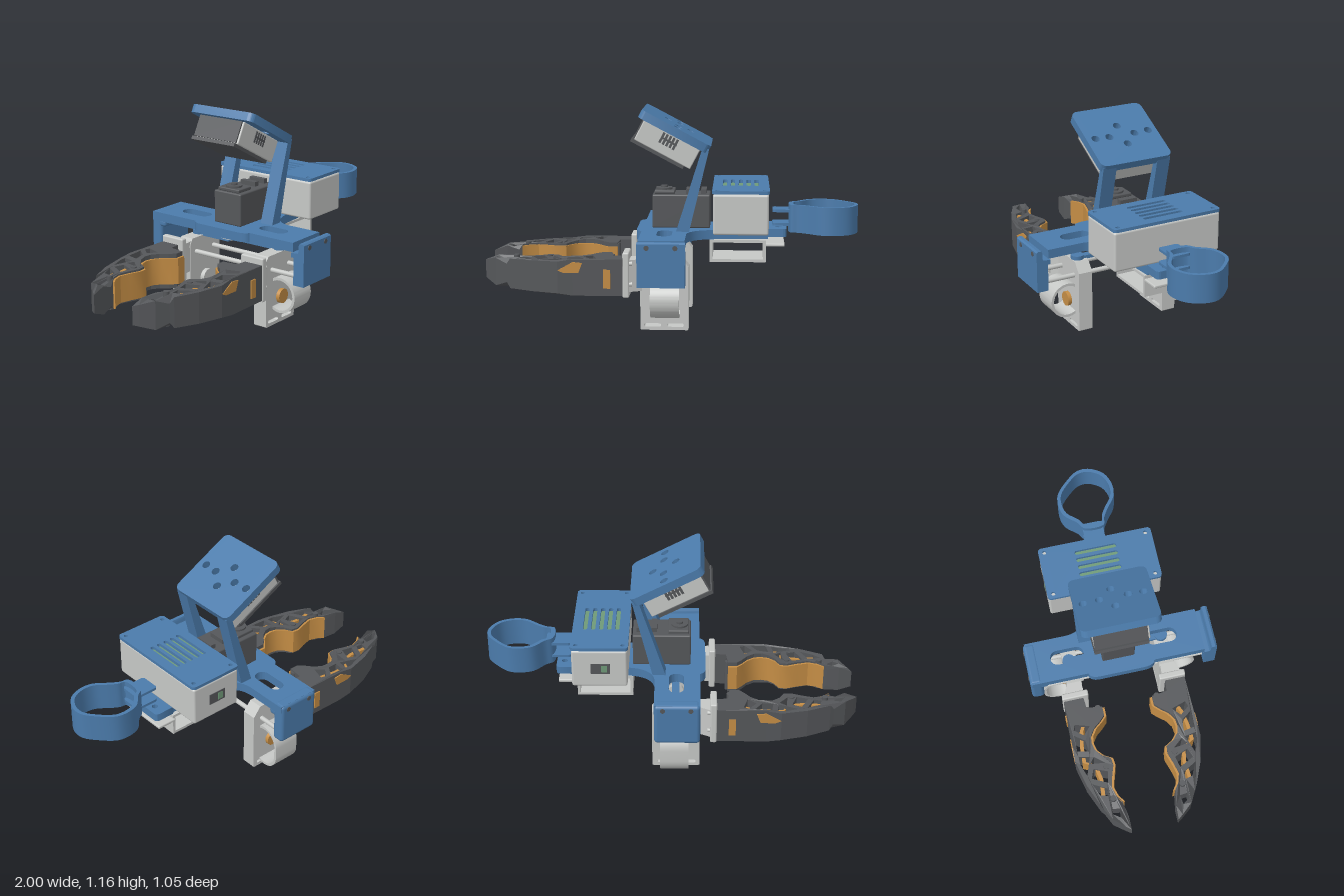
import * as THREE from 'three';
import { toCreasedNormals } from 'three/addons/utils/BufferGeometryUtils.js';
import { RoundedBoxGeometry } from 'three/addons/geometries/RoundedBoxGeometry.js';

const mat = (name, color) => Object.assign(new THREE.MeshStandardMaterial({ color }), { name });

export function createModel() {
  const blue = mat('blue plastic', 0x4b7bab), grey = mat('light grey plastic', 0xc6c8c6);
  const dark = mat('dark grey plastic', 0x55575a), orange = mat('orange rubber', 0xc48d45);
  const green = mat('circuit green', 0x6f9a78);
  const root = new THREE.Group();

  const add = (name, geo, material, parent = root) => {
    const m = new THREE.Mesh(geo, material);
    m.name = name;
    parent.add(m);
    return m;
  };
  // Box given by its limits, rounded when r > 0
  const box = (name, material, x0, x1, y0, y1, z0, z1, r = 0, parent = root) => {
    const s = [x1 - x0, y1 - y0, z1 - z0];
    const g = r ? new RoundedBoxGeometry(...s, 3, r) : new THREE.BoxGeometry(...s);
    return add(name, g.translate((x0 + x1) / 2, (y0 + y1) / 2, (z0 + z1) / 2), material, parent);
  };
  const rod = (name, material, r, len, axis, x, y, z, parent = root) => {
    const g = new THREE.CylinderGeometry(r, r, len, 24);
    if (axis === 'x') g.rotateZ(Math.PI / 2);
    if (axis === 'z') g.rotateX(Math.PI / 2);
    return add(name, g.translate(x, y, z), material, parent);
  };
  const poly = (pts) => new THREE.Shape(pts.map((p) => new THREE.Vector2(...p)));
  const oval = (x, y, rx, ry) => {
    const e = new THREE.Path();
    e.absellipse(x, y, rx, ry, 0, Math.PI * 2);
    return e;
  };
  const slot = (x0, x1, y0, y1) => { // rounded rectangle with full-radius ends
    const s = new THREE.Shape(), w = x1 - x0, h = y1 - y0, r = Math.min(w, h) / 2;
    if (h >= w) {
      s.absarc(x0 + r, y1 - r, r, 0, Math.PI);
      s.absarc(x0 + r, y0 + r, r, Math.PI, Math.PI * 2);
    } else {
      s.absarc(x0 + r, y0 + r, r, Math.PI / 2, Math.PI * 1.5);
      s.absarc(x1 - r, y0 + r, r, -Math.PI / 2, Math.PI / 2);
    }
    s.closePath();
    return s;
  };
  const roundRect = (x0, x1, y0, y1, r) => {
    const s = new THREE.Shape();
    s.absarc(x1 - r, y1 - r, r, 0, Math.PI / 2);
    s.absarc(x0 + r, y1 - r, r, Math.PI / 2, Math.PI);
    s.absarc(x0 + r, y0 + r, r, Math.PI, Math.PI * 1.5);
    s.absarc(x1 - r, y0 + r, r, Math.PI * 1.5, Math.PI * 2);
    s.closePath();
    return s;
  };
  const extrude = (shape, depth, holes = []) => {
    shape.holes.push(...holes);
    return new THREE.ExtrudeGeometry(shape, { depth, bevelEnabled: false, curveSegments: 14 });
  };
  // Plan shapes are (x, z) running up y; cross shapes are (z, y) running along x
  const plan = (shape, y0, y1, holes) =>
    toCreasedNormals(extrude(shape, y1 - y0, holes).rotateX(Math.PI / 2).translate(0, y1, 0), 0.5);
  const cross = (shape, x0, x1, holes) =>
    toCreasedNormals(extrude(shape, x1 - x0, holes).rotateY(-Math.PI / 2).translate(x1, 0, 0), 0.5);

  // Main frame: cross beam, flared centre and rear stem
  const frame = new THREE.Shape();
  frame.moveTo(-0.15, -0.51);
  frame.lineTo(0.09, -0.51);
  frame.lineTo(0.09, -0.27);
  frame.quadraticCurveTo(0.1, -0.15, 0.24, -0.14);
  frame.lineTo(0.52, -0.12);
  frame.lineTo(0.52, 0.1);
  frame.lineTo(0.24, 0.12);
  frame.quadraticCurveTo(0.1, 0.14, 0.09, 0.25);
  frame.lineTo(0.09, 0.45);
  frame.lineTo(-0.15, 0.45);
  frame.lineTo(-0.15, 0.17);
  frame.quadraticCurveTo(-0.18, 0.16, -0.18, 0.1);
  frame.lineTo(-0.18, -0.14);
  frame.quadraticCurveTo(-0.18, -0.19, -0.15, -0.2);
  add('frame beam', plan(frame, 0.46, 0.51, [slot(-0.065, 0.015, -0.385, -0.2), slot(-0.065, 0.015, 0.15, 0.32)]), blue);
  box('back end bracket', blue, -0.15, 0.09, 0.28, 0.512, -0.52, -0.45, 0.02);
  box('back bracket fillet', blue, -0.15, 0.09, 0.43, 0.47, -0.47, -0.42, 0.015);
  add('front end bracket', cross(poly([[0.455, 0.28], [0.52, 0.28], [0.52, 0.505], [0.51, 0.512], [0.492, 0.512],
    [0.487, 0.5], [0.487, 0.47], [0.48, 0.457], [0.44, 0.455], [0.44, 0.43], [0.455, 0.43]]), -0.15, 0.095), blue);
  for (const x of [-0.1, 0.045])
    for (const [z, y] of [[0.52, 0.485], [-0.52, 0.485]]) rod('bracket screw', dark, 0.013, 0.006, 'z', x, y, z);

  // Guide rods
  for (const x of [-0.1, 0.05]) rod('guide rod', grey, 0.013, 0.92, 'z', x, 0.315, 0);

  // Electronics box with slotted lid
  box('electronics box', grey, 0.23, 0.52, 0.512, 0.725, -0.33, 0.29, 0.012);
  box('circuit board', green, 0.27, 0.48, 0.7245, 0.7275, -0.15, 0.1);
  const vents = [0, 1, 2, 3, 4].map((i) => slot(0.277 + i * 0.0425, 0.3 + i * 0.0425, -0.14, 0.09));
  const lidHoles = [[0.253, -0.3], [0.497, -0.3], [0.253, 0.26], [0.497, 0.26]].map(([x, z]) => oval(x, z, 0.011, 0.011));
  add('box lid', plan(roundRect(0.225, 0.525, -0.333, 0.293, 0.02), 0.728, 0.745, [...vents, ...lidHoles]), blue);
  box('port recess', dark, 0.32, 0.42, 0.59, 0.65, -0.333, -0.329);
  box('port board', green, 0.335, 0.365, 0.6, 0.64, -0.335, -0.331);

  // Hollow under-bracket with rear tongue
  add('under bracket', extrude(poly([[0.21, 0.335], [0.51, 0.335], [0.51, 0.455], [0.21, 0.455]]), 0.25,
    [poly([[0.225, 0.35], [0.495, 0.35], [0.495, 0.44], [0.225, 0.44]])]).translate(0, 0, -0.14), grey);
  box('bracket tongue', grey, 0.5, 0.61, 0.42, 0.437, -0.15, 0.11, 0.006);

  // Strap mount and teardrop ring
  const mountHoles = [-0.08, 0.03].map((z) => oval(0.578, z, 0.016, 0.016));
  add('ring mount', plan(roundRect(0.5, 0.62, -0.145, 0.1, 0.02), 0.472, 0.515, mountHoles), blue);
  for (const y of [0.525, 0.598])
    add('ring hinge plate', plan(roundRect(0.545, 0.68, -0.06, 0.055, 0.015), y, y + 0.014), blue);
  const loop = [[0.64, -0.05], [0.68, -0.08], [0.74, -0.145], [0.8, -0.163], [0.87, -0.155], [0.95, -0.085], [0.995, -0.02],
    [0.997, 0.045], [0.95, 0.125], [0.87, 0.158], [0.8, 0.15], [0.73, 0.1], [0.68, 0.07], [0.64, 0.06]];
  const smooth = (k) => new THREE.Shape(new THREE.CatmullRomCurve3(
    loop.map(([x, z]) => new THREE.Vector3(0.84 + (x - 0.84) * k, z * k, 0)), true).getPoints(56).map((p) => new THREE.Vector2(p.x, p.y)));
  add('strap ring', plan(smooth(1), 0.49, 0.64, [smooth(0.88)]), blue);

  // Servo motor
  box('servo body', dark, -0.1, 0.21, 0.51, 0.69, -0.11, 0.07, 0.008);
  box('servo cap', dark, -0.09, 0.02, 0.69, 0.71, -0.09, 0.05, 0.006);
  rod('servo hub', dark, 0.045, 0.03, 'y', -0.04, 0.705, -0.02);
  rod('servo hub screw', dark, 0.018, 0.02, 'y', -0.04, 0.72, -0.02);
  for (const x of [0.08, 0.16]) box('servo connector', dark, x, x + 0.03, 0.69, 0.715, -0.07, 0.03);
  rod('servo horn', grey, 0.11, 0.025, 'y', 0, 0.44, -0.02);
  rod('horn screw', blue, 0.04, 0.02, 'y', 0, 0.422, -0.02);

  // Camera mast arms and tilted head
  for (const z of [0.105, -0.215])
    add('mast arm', extrude(poly([[0.03, 0.5], [0.1, 0.5], [0.207, 0.95], [0.172, 0.95]]), 0.077).translate(0, 0, z), blue);
  const head = new THREE.Group();
  head.name = 'camera head';
  head.position.set(0.025, 1.04, 0);
  head.rotation.z = -0.486;
  root.add(head);
  const spots = [[0.006, -0.175], [0.01, -0.09], [-0.06, -0.018], [0.075, -0.018], [0.01, 0.06], [0.006, 0.14]];
  add('camera plate', plan(roundRect(-0.205, 0.205, -0.225, 0.192, 0.035), -0.0225, 0.0225,
    spots.map(([x, z]) => oval(x, z, 0.022, 0.022))), blue, head);
  box('camera body', grey, -0.17, 0.165, -0.145, -0.022, -0.165, 0.125, 0.006, head);
  box('camera face', dark, -0.178, -0.169, -0.14, -0.024, -0.165, 0.115, 0, head);
  box('camera base', dark, -0.185, 0.13, -0.163, -0.144, -0.17, 0.115, 0, head);
  for (const z of [-0.166, 0.126]) {
    for (let i = 0; i < 5; i++)
      box('camera vent', dark, -0.05 + i * 0.02, -0.037 + i * 0.02, -0.095, -0.035, z - 0.003, z + 0.003, 0, head);
    box('camera vent back', dark, -0.05, 0.045, -0.07, -0.06, z - 0.003, z + 0.003, 0, head);
  }

  // Fingers: w is the distance from the hand's middle plane, z = -0.02 + side * w
  const heights = [[-1.01, 0.045], [-0.93, 0.075], [-0.865, 0.05], [-0.845, 0.08], [-0.58, 0.085], [-0.5, 0.097], [0, 0.097]];
  const halfHeight = (x) => {
    const i = Math.max(1, heights.findIndex((h) => x <= h[0]));
    const [a, b] = [heights[i - 1], heights[i]];
    return a[1] + (b[1] - a[1]) * (x - a[0]) / (b[0] - a[0]);
  };
  const outline = [[-1, 0.128], [-0.98, 0.155], [-0.93, 0.215], [-0.865, 0.25], [-0.845, 0.262], [-0.72, 0.315], [-0.58, 0.348],
    [-0.5, 0.345], [-0.24, 0.34], [-0.24, 0.23], [-0.3, 0.225], [-0.31, 0.14], [-0.36, 0.14], [-0.39, 0.17], [-0.42, 0.208],
    [-0.46, 0.235], [-0.5, 0.24], [-0.54, 0.23], [-0.575, 0.2], [-0.6, 0.155], [-0.64, 0.15], [-0.7, 0.17], [-0.76, 0.185],
    [-0.81, 0.17], [-0.845, 0.145], [-0.865, 0.14], [-0.93, 0.13]];
  const windows = [
    [[-0.93, 0.17], [-0.875, 0.165], [-0.87, 0.205], [-0.9, 0.21]],
    [[-0.8, 0.215], [-0.76, 0.21], [-0.72, 0.285], [-0.79, 0.255]],
    [[-0.73, 0.2], [-0.67, 0.185], [-0.64, 0.26], [-0.69, 0.28]],
    [[-0.62, 0.19], [-0.575, 0.245], [-0.61, 0.27]],
    [[-0.67, 0.3], [-0.57, 0.265], [-0.56, 0.325], [-0.6, 0.325]],
    [[-0.53, 0.325], [-0.54, 0.265], [-0.48, 0.27], [-0.44, 0.325]],
    [[-0.45, 0.27], [-0.405, 0.23], [-0.38, 0.31], [-0.41, 0.32]],
  ];
  const makeFinger = (side) => {
    const f = new THREE.Group();
    f.name = side < 0 ? 'back finger' : 'front finger';
    root.add(f);
    const at = (pts) => poly(pts.map(([x, w]) => [x, -0.02 + side * w]));
    const mapZ = (w0, w1) => [-0.02 + side * w0, -0.02 + side * w1].sort((a, b) => a - b);
    const body = plan(at(outline), -1, 1, windows.map(at));
    const p = body.attributes.position;
    for (let i = 0; i < p.count; i++) p.setY(i, 0.287 + p.getY(i) * halfHeight(p.getX(i)));
    body.computeVertexNormals();
    add('finger shell', body, dark, f);
    // Rubber grip along the inner arch, and soft core ribs in the windows
    const grip = outline.slice(11, 25);
    add('grip pad', plan(at([...grip.map(([x, w]) => [x, w - 0.012]), ...grip.map(([x, w]) => [x, w + 0.004]).reverse()]), 0.215, 0.36), orange, f);
    const ribs = [[-0.82, 0.24], [-0.7, 0.23], [-0.62, 0.245], [-0.59, 0.3], [-0.5, 0.295], [-0.42, 0.28], [-0.36, 0.25]];
    add('core rib', plan(at([...ribs.map(([x, w]) => [x, w - 0.01]), ...ribs.map(([x, w]) => [x, w + 0.01]).reverse()]), 0.22, 0.355), orange, f);
    const [o0, o1] = mapZ(0.339, 0.348);
    box('side window', orange, -0.34, -0.303, 0.23, 0.33, o0, o1, 0, f);
    add('side window', extrude(poly([[-0.58, 0.325], [-0.55, 0.312], [-0.47, 0.312], [-0.45, 0.365], [-0.5, 0.37]]), 0.008)
      .translate(0, 0, -0.02 + side * 0.346 - 0.004), orange, f);
    for (const x of [-0.31, -0.64, -0.82]) rod('pivot pin', dark, 0.016, 0.18, 'y', x, 0.287, -0.02 + side * (x > -0.5 ? 0.165 : 0.19), f);

    // Knuckle plate and neck joining the finger to its carriage
    box('knuckle plate', grey, -0.24, -0.205, 0.18, 0.42, ...mapZ(0.2, 0.345), 0.008, f);
    add('knuckle neck', plan(at([[-0.21, 0.335], [-0.14, 0.3], [-0.14, 0.225], [-0.21, 0.22]]), 0.21, 0.38), grey, f);
    for (const y of [0.25, 0.36]) rod('knuckle screw', grey, 0.012, 0.02, 'x', -0.2, y, -0.02 + side * 0.325, f);

    // Carriage riding on the guide rods, with slotted foot
    const z0 = mapZ(0.22, 0.3);
    add('carriage', extrude(poly([[-0.15, 0.005], [-0.145, 0], [0.1, 0], [0.105, 0.005], [0.105, 0.34], [0.06, 0.395], [-0.13, 0.395], [-0.15, 0.36]]),
      z0[1] - z0[0], [slot(-0.13, -0.04, 0.018, 0.036), slot(-0.01, 0.08, 0.018, 0.036)]).translate(0, 0, z0[0]), grey, f);
    rod('thimble boss', grey, 0.045, 0.03, 'z', -0.02, 0.15, -0.02 + side * 0.21, f);
    rod('soft button', orange, 0.04, 0.025, 'z', -0.02, 0.15, -0.02 + side * 0.308, f);

    // Finger loop
    const loopShape = side > 0 ? [0.325, 0.178, 0.097, 0.098] : null;
    const ring = loopShape
      ? cross(new THREE.Shape(oval(...loopShape).getPoints(40)), -0.09, 0.06, [oval(0.325, 0.178, 0.083, 0.084)])
      : cross(slot(-0.45, -0.26, 0.025, 0.275), -0.09, 0.06, [slot(-0.436, -0.274, 0.039, 0.261)]);
    add('finger loop', ring, grey, f);

    // Linkage from servo horn to carriage
    const link = add('linkage arm', new THREE.BoxGeometry(0.04, 0.02, 0.24), blue, f);
    link.position.set(0.02 * side, 0.4, -0.02 + side * 0.16);
    rod('linkage joint', blue, 0.035, 0.03, 'y', 0.02 * side, 0.402, -0.02 + side * 0.265, f);
  };
  makeFinger(-1);
  makeFinger(1);
  return root;
}
